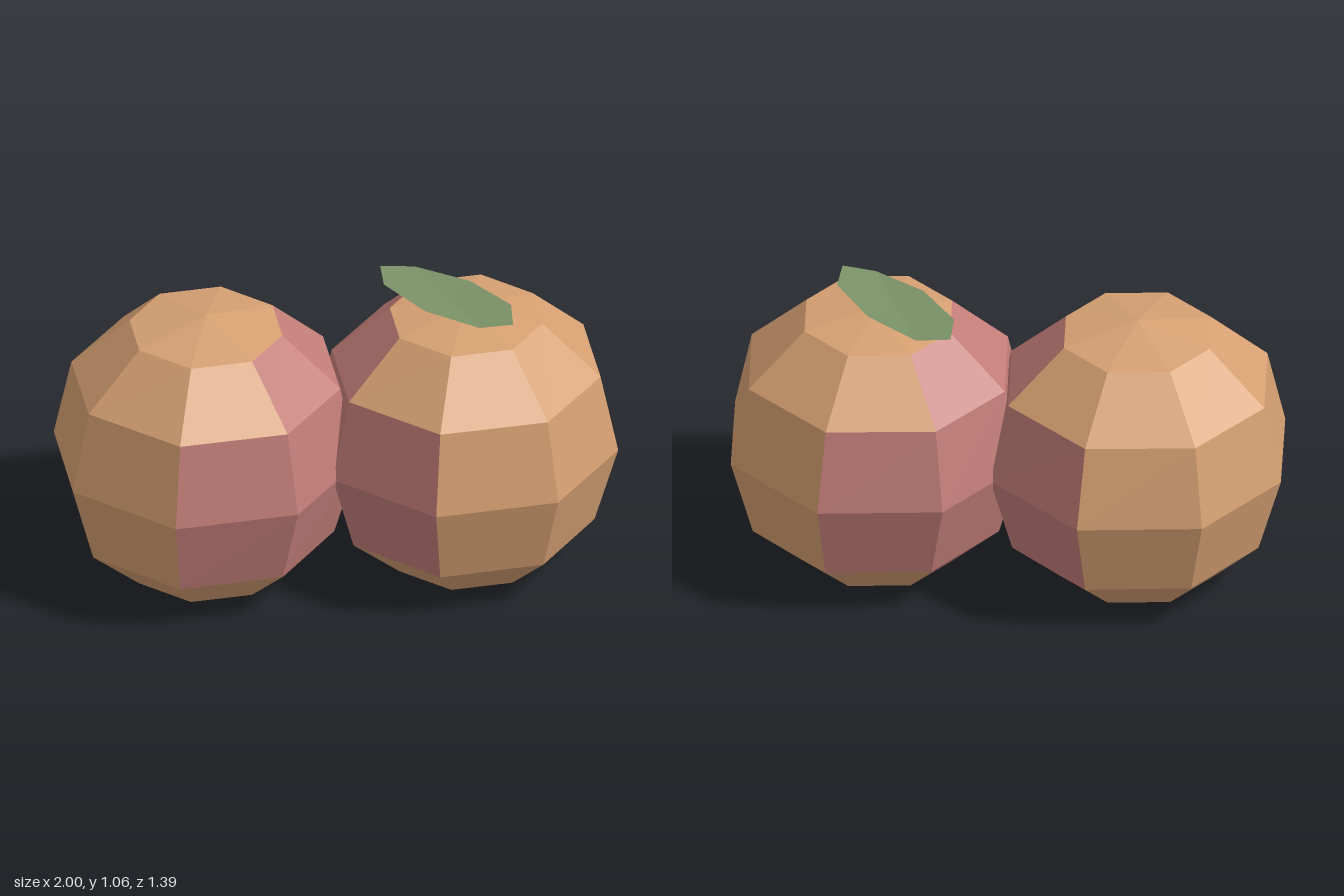
import * as THREE from 'three';

const skinMat = new THREE.MeshStandardMaterial({ color: 0xd6a072 });
const blushMat = new THREE.MeshStandardMaterial({ color: 0xc27d78 });
const leafMat = new THREE.MeshStandardMaterial({ color: 0x7b9267 });

// Faceted mesh from a list of triangles (unshared corners give flat normals)
function facetMesh(name, triangles, material) {
  const geometry = new THREE.BufferGeometry().setFromPoints(triangles.flat());
  geometry.computeVertexNormals();
  const mesh = new THREE.Mesh(geometry, material);
  mesh.name = name;
  return mesh;
}

// Eight-sided fruit whose blushed side faces +x
function makeFruit(name, apexY) {
  // Ring height, x radius, z radius
  const profile = [
    [0, 0.277, 0.282],
    [0.18, 0.466, 0.49],
    [0.48, 0.552, 0.567],
    [0.78, 0.488, 0.49],
    [0.98, 0.277, 0.282],
  ];
  const rings = profile.map(([y, rx, rz]) => Array.from({ length: 8 }, (_, k) => {
    const a = (k * Math.PI) / 4;
    const diagonal = k % 2 === 1;
    const x = diagonal ? Math.sign(Math.cos(a)) * 0.74 : Math.cos(a);
    const z = diagonal ? Math.sign(Math.sin(a)) * 0.685 : Math.sin(a);
    return new THREE.Vector3(x * rx, y, z * rz);
  }));
  const apex = new THREE.Vector3(0, apexY, 0);
  const base = new THREE.Vector3(0, 0, 0);
  const skin = [];
  const blush = [];

  for (let k = 0; k < 8; k++) {
    const n = (k + 1) % 8;
    for (let band = 0; band < 4; band++) {
      const low = rings[band];
      const high = rings[band + 1];
      const inner = k === 0 || k === 7;
      const flank = (k === 1 || k === 6) && (band === 1 || band === 2);
      (inner || flank ? blush : skin).push(
        [low[n], low[k], high[k]],
        [low[n], high[k], high[n]],
      );
    }
    skin.push([rings[4][n], rings[4][k], apex], [rings[0][k], rings[0][n], base]);
  }

  const fruit = new THREE.Group();
  fruit.name = name;
  fruit.add(facetMesh('fruitSkin', skin, skinMat), facetMesh('fruitBlush', blush, blushMat));
  return fruit;
}

// Shallow cupped leaf with a faceted underside
function makeLeaf() {
  const rim = [
    [0.107, 1.056, -0.278], [0.225, 1.045, -0.316], [0.439, 1.052, -0.246], [0.615, 1.058, -0.107],
    [0.647, 1.056, 0.021], [0.529, 1.045, 0.048], [0.32, 1.052, -0.016], [0.144, 1.058, -0.155],
  ].map((p) => new THREE.Vector3(...p));
  const top = new THREE.Vector3(0.377, 1.042, -0.135);
  const bottom = new THREE.Vector3(0.377, 1.012, -0.135);
  const under = rim.map((p) => p.clone().lerp(bottom, 0.5).setY(1.02));
  const triangles = [];
  rim.forEach((p, i) => {
    const j = (i + 1) % rim.length;
    triangles.push(
      [rim[j], p, top],
      [p, rim[j], under[j]],
      [p, under[j], under[i]],
      [under[i], under[j], bottom],
    );
  });
  return facetMesh('leaf', triangles, leafMat);
}

export function createModel() {
  const model = new THREE.Group();
  model.name = 'fruitPair';

  const right = makeFruit('rightFruit', 1.033);
  right.position.set(-0.448, 0, 0.127);

  // Turned half round so both blushed sides meet
  const left = makeFruit('leftFruit', 1.022);
  left.position.set(0.448, 0, -0.127);
  left.rotation.y = Math.PI;

  model.add(right, left, makeLeaf());
  return model;
}
